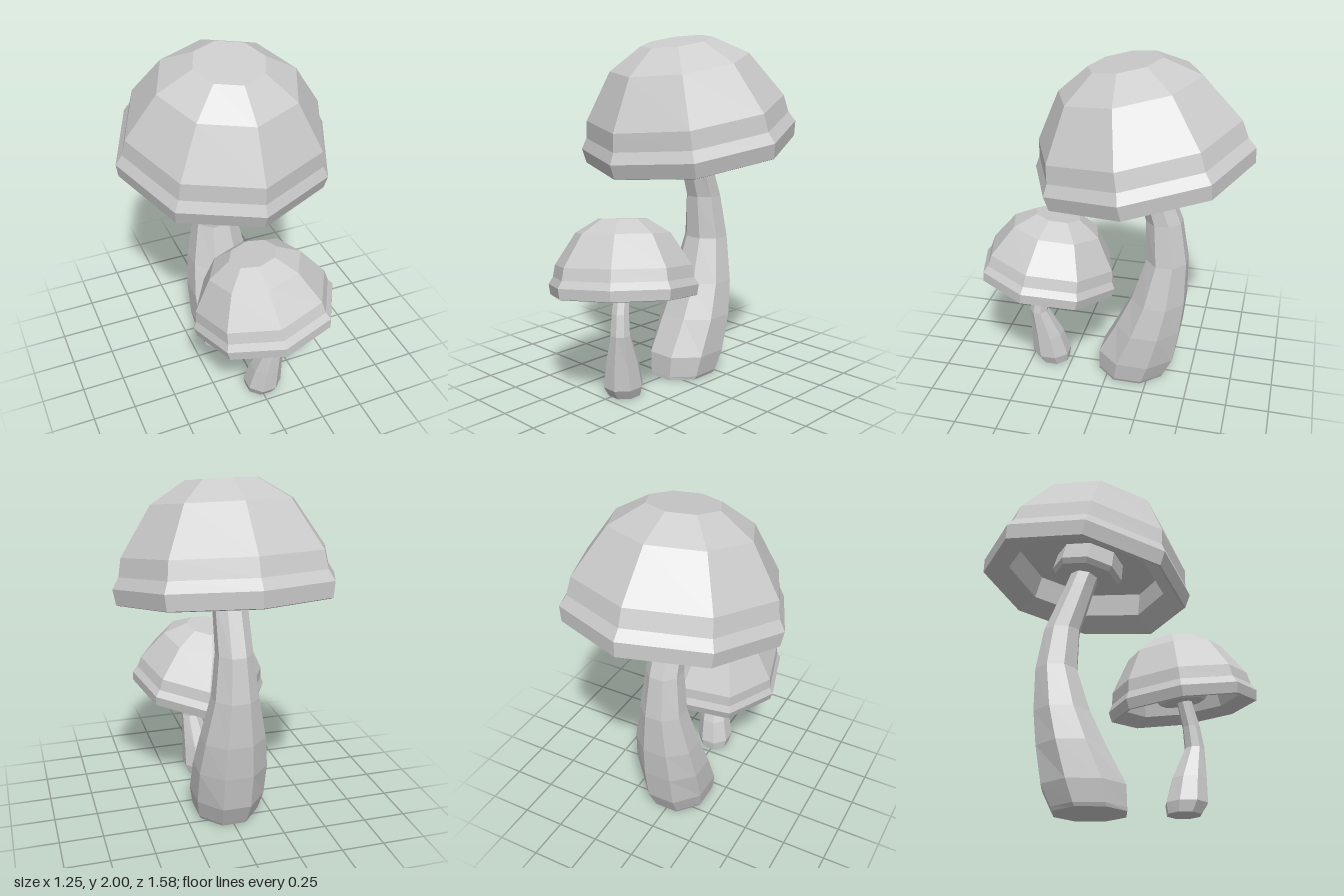
import * as THREE from 'three';

const SIDES = 8;
const material = new THREE.MeshStandardMaterial({ color: 0xcccccc, flatShading: true });

function facetedMesh(geometry, name) {
  const flat = geometry.toNonIndexed();
  flat.computeVertexNormals();
  const mesh = new THREE.Mesh(flat, material);
  mesh.name = name;
  return mesh;
}

// Closed [radius, height] profile, from the collar under the cap, out over the lip, up to the crown
const CAP_PROFILE = [
  [0, 0.08], [0.19, 0.08], [0.21, 0.11], [0.2, 0.21],   // collar around the stem
  [0.45, 0.21], [0.47, 0.07], [0.6, 0.0],               // ceiling, recess wall, lip
  [0.612, 0.005], [0.626, 0.09], [0.59, 0.15],          // rim
  [0.572, 0.25], [0.398, 0.515], [0.205, 0.632], [0, 0.632], // dome
].map(([r, h]) => new THREE.Vector2(r, h));

// Cap standing on its rim centre, turned by yaw and then tilted so its axis follows `axis`
function makeCap(name, center, axis, yaw, scale) {
  const cap = facetedMesh(new THREE.LatheGeometry(CAP_PROFILE, SIDES), name);
  const up = new THREE.Vector3(0, 1, 0);
  cap.quaternion
    .setFromUnitVectors(up, new THREE.Vector3(...axis).normalize())
    .multiply(new THREE.Quaternion().setFromAxisAngle(up, yaw));
  cap.position.set(...center);
  cap.scale.setScalar(scale);
  return cap;
}

// Bent stem lofted through rings [x, y, z, half width in x, half width in z]
function makeStem(name, rings) {
  const [x0, y0, z0] = rings[0];
  const rows = [[x0, y0, z0, 0, 0], ...rings]; // first row closes the foot
  const geometry = new THREE.LatheGeometry(
    rows.map((_, i) => new THREE.Vector2(1, i)), SIDES, Math.PI / SIDES);
  const pos = geometry.attributes.position;
  const grow = 1 / Math.cos(Math.PI / SIDES);
  for (let i = 0; i < pos.count; i++) {
    const [x, y, z, rx, rz] = rows[Math.round(pos.getY(i))];
    pos.setXYZ(i, x + pos.getX(i) * rx * grow, y, z + pos.getZ(i) * rz * grow);
  }
  return facetedMesh(geometry, name);
}

export function createModel() {
  const model = new THREE.Group();
  model.name = 'mushrooms';

  // Large mushroom, cap nodding forward
  const large = new THREE.Group();
  large.name = 'largeMushroom';
  large.add(
    makeStem('largeStem', [
      [0, 0, -0.135, 0.17, 0.195],
      [0, 0.02, -0.14, 0.18, 0.2],
      [0, 0.14, -0.17, 0.2, 0.226],
      [0, 0.35, -0.24, 0.2, 0.19],
      [0, 0.55, -0.295, 0.175, 0.155],
      [0, 0.81, -0.335, 0.125, 0.116],
      [0, 1.06, -0.31, 0.097, 0.1],
      [0, 1.34, -0.215, 0.09, 0.083],
      [0, 1.5, -0.16, 0.085, 0.08],
    ]),
    makeCap('largeCap', [0, 1.34, -0.19], [0, 0.983, 0.184], 0, 1),
  );

  // Small mushroom in front, cap leaning back and to one side
  const small = new THREE.Group();
  small.name = 'smallMushroom';
  small.add(
    makeStem('smallStem', [
      [0.015, 0, 0.365, 0.085, 0.088],
      [0.02, 0.06, 0.38, 0.103, 0.11],
      [0.035, 0.2, 0.4, 0.086, 0.092],
      [0.062, 0.38, 0.44, 0.056, 0.052],
      [0.05, 0.5, 0.425, 0.048, 0.046],
      [0.03, 0.64, 0.39, 0.042, 0.04],
      [0.02, 0.71, 0.37, 0.04, 0.04],
    ]),
    makeCap('smallCap', [0.03, 0.588, 0.385], [-0.146, 1, -0.14], -0.12, 0.67),
  );

  model.add(large, small);
  return model;
}
